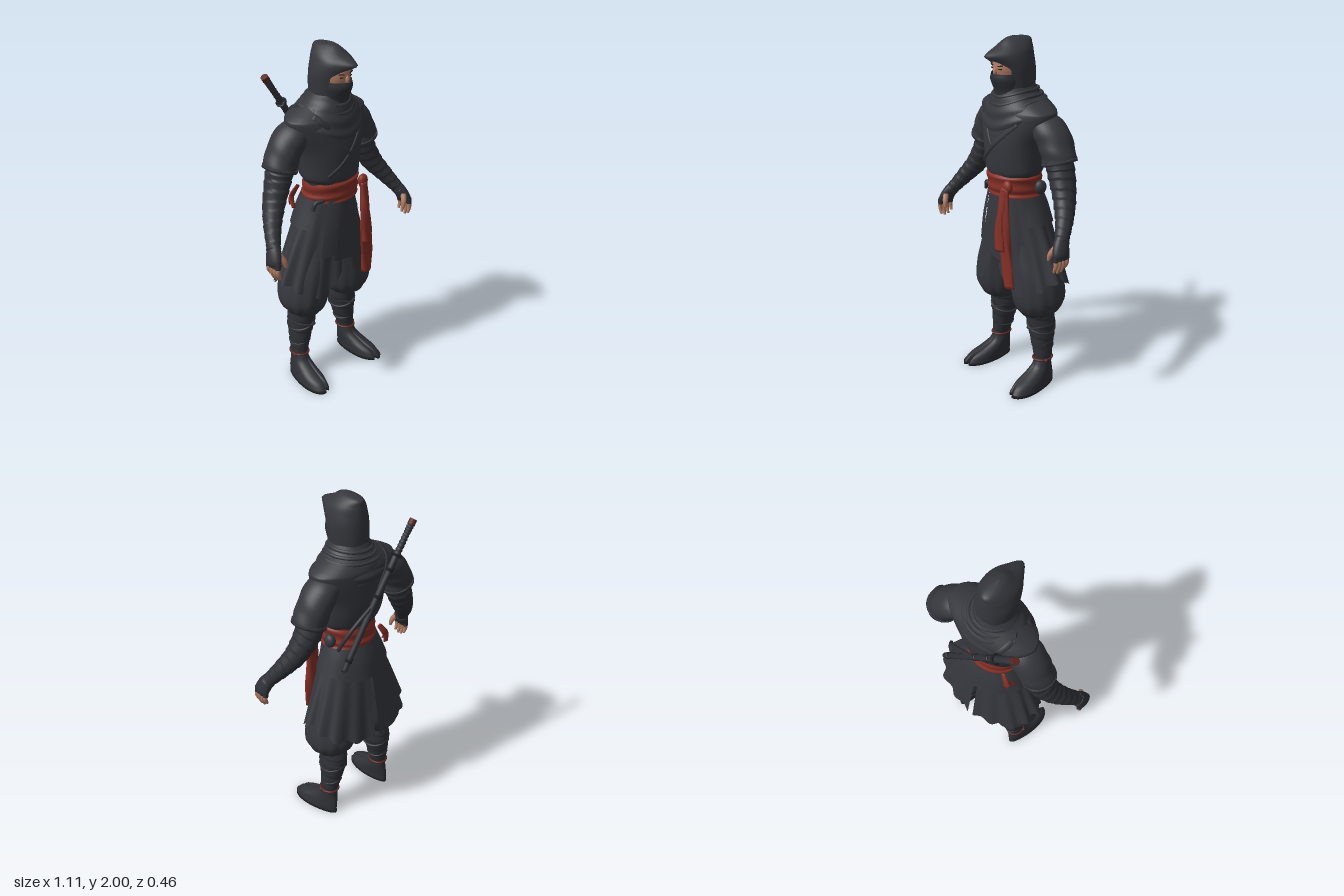
import * as THREE from 'three';

const mat = (name, color, side = THREE.DoubleSide) => {
  const m = new THREE.MeshStandardMaterial({ color, side });
  m.name = name;
  return m;
};
const cloth = mat('charcoalCloth', 0x36373d), wrap = mat('darkWrap', 0x303137);
const red = mat('redSash', 0x842f26), skin = mat('skin', 0xb07c64);
const dark = mat('blackLeather', 0x222327), hiltRed = mat('darkRedCord', 0x5c2823);
const band = mat('blueGreyBand', 0x2f3440);
const { sin, cos, max, min, abs, PI } = Math;
const RAD = PI / 180;

const add = (parent, name, geo, material, pos) => {
  const m = new THREE.Mesh(geo, material);
  m.name = name;
  if (pos) m.position.set(...pos);
  parent.add(m);
  return m;
};

// Smooth skin through elliptic rings [x, y, z, rx, rz], listed from top to bottom.
// tilt: rings square to the path. arc: degrees, 90 is the front. gap(t): front opening.
function loft(rows, { steps = 24, seg = 40, tilt = false, arc = [0, 360], gap, caps = tilt, fold, warp } = {}) {
  const path = new THREE.CatmullRomCurve3(rows.map(r => new THREE.Vector3(r[0], r[1], r[2])), false, 'catmullrom');
  const size = new THREE.CatmullRomCurve3(rows.map(r => new THREE.Vector3(r[3], r[4], 0)), false, 'catmullrom');
  const closed = !gap && arc[1] - arc[0] === 360, cols = closed ? seg : seg + 1;
  const pos = [], idx = [];
  for (let i = 0; i <= steps; i++) {
    const t = i / steps, c = path.getPoint(t), r = size.getPoint(t);
    let a = new THREE.Vector3(1, 0, 0), b = new THREE.Vector3(0, 0, 1);
    if (tilt) {
      const T = path.getTangent(t);
      b.addScaledVector(T, -T.z).normalize();
      a = b.clone().cross(T).normalize();
    }
    const g = gap ? gap(t) : 0;
    const lo = gap ? 90 + g : arc[0], hi = gap ? 450 - g : arc[1];
    for (let j = 0; j < cols; j++) {
      const th = (lo + (hi - lo) * j / seg) * RAD, k = fold ? 1 + fold(th, t) : 1;
      const v = c.clone().addScaledVector(a, r.x * k * cos(th)).addScaledVector(b, r.y * k * sin(th));
      if (warp) warp(v, th, t, c);
      pos.push(v.x, v.y, v.z);
    }
  }
  for (let i = 0; i < steps; i++) for (let j = 0; j < seg; j++) {
    const p = i * cols + j, q = i * cols + (j + 1) % cols;
    idx.push(p, q, p + cols, q, q + cols, p + cols);
  }
  if (caps) [0, 1].forEach(e => {
    const c = path.getPoint(e), n = pos.length / 3, o = e * steps * cols;
    pos.push(c.x, c.y, c.z);
    for (let j = 0; j < seg; j++) {
      const p = o + j, q = o + (j + 1) % cols;
      idx.push(...(e ? [n, p, q] : [n, q, p]));
    }
  });
  const geo = new THREE.BufferGeometry();
  geo.setAttribute('position', new THREE.Float32BufferAttribute(pos, 3));
  geo.setIndex(idx);
  geo.computeVertexNormals();
  return geo;
}
// Flat cloth strip through points [x, y, z, halfWidth]
const ribbon = (pts, thick = 0.006, opt) => loft(pts.map(p => [p[0], p[1], p[2], p[3], thick]), { tilt: true, seg: 16, steps: 20, ...opt });
const rod = (pts, opt) => loft(pts.map(p => [p[0], p[1], p[2], p[3], p[3]]), { tilt: true, seg: 14, steps: 16, ...opt });
const spiral = (turns, amp) => (th, t) => amp * (((t * turns + th / (2 * PI)) % 1 + 1) % 1 - 0.5);

const TORSO = [[0, 1.71, -0.01, 0.1, 0.1], [0, 1.675, -0.012, 0.17, 0.12], [0, 1.635, -0.01, 0.245, 0.142],
  [0, 1.61, -0.006, 0.264, 0.15], [0, 1.54, 0, 0.245, 0.16], [0, 1.45, 0.008, 0.205, 0.168], [0, 1.36, 0.015, 0.188, 0.163],
  [0, 1.29, 0.025, 0.178, 0.148], [0, 1.25, 0.03, 0.155, 0.13], [0, 1.15, 0.02, 0.15, 0.125]];
// Front of the jacket at (x, y)
function chestZ(x, y) {
  let i = 0;
  while (i < TORSO.length - 2 && TORSO[i + 1][1] > y) i++;
  const A = TORSO[i], B = TORSO[i + 1], k = (A[1] - y) / (A[1] - B[1]);
  const m = n => A[n] + (B[n] - A[n]) * k;
  return m(2) + m(4) * Math.sqrt(max(0, 1 - (x / m(3)) ** 2));
}
function chestBand(x0, y0, x1, y1, w) {
  return ribbon([0, 1, 2, 3, 4, 5].map(i => {
    const x = x0 + (x1 - x0) * i / 5, y = y0 + (y1 - y0) * i / 5;
    return [x, y, chestZ(x, y) + 0.003, w];
  }));
}

function buildHead(g) {
  add(g, 'face', new THREE.SphereGeometry(1, 32, 24).scale(0.083, 0.115, 0.105), skin, [0, 1.845, 0.047]);
  add(g, 'noseBridge', new THREE.SphereGeometry(0.014, 12, 8).scale(0.8, 1.6, 1), skin, [0, 1.825, 0.15]);
  add(g, 'mask', loft([[0, 1.815, 0.05, 0.088, 0.108], [0, 1.78, 0.05, 0.09, 0.115], [0, 1.72, 0.042, 0.086, 0.1],
    [0, 1.67, 0.03, 0.095, 0.105], [0, 1.62, 0.02, 0.1, 0.1]], {
    warp: (v, th, t) => { v.z += 0.016 * max(0, sin(th)) ** 20 * max(0, 1 - t * 2.5); }
  }), wrap);
  add(g, 'headband', loft([[0, 1.94, 0.047, 0.06, 0.08], [0, 1.91, 0.047, 0.08, 0.1], [0, 1.876, 0.047, 0.087, 0.109]]), band);
  for (const s of [-1, 1]) {
    add(g, 'eye', new THREE.BoxGeometry(0.018, 0.005, 0.006), dark, [s * 0.034, 1.841, 0.145]).rotation.y = s * 0.35;
    add(g, 'eyebrow', new THREE.BoxGeometry(0.032, 0.005, 0.006), dark, [s * 0.036, 1.858, 0.145]).rotation.set(0, s * 0.35, s * 0.15);
  }
  add(g, 'hood', loft([[0, 2, 0.04, 0.0005, 0.0005], [0, 1.986, 0.008, 0.038, 0.076], [0, 1.95, 0.025, 0.074, 0.106],
    [0, 1.91, 0.042, 0.094, 0.128], [0, 1.85, 0.03, 0.106, 0.12], [0, 1.78, 0.022, 0.104, 0.114], [0, 1.7, 0.02, 0.098, 0.108]], {
    steps: 40, seg: 48, gap: t => t < 0.5 ? 0 : min(48, (t - 0.5) * 260),
    fold: (th, t) => 0.012 * sin(th * 6 + t * 9) * t,
    warp: (v, th, t) => { v.z += 0.045 * max(0, sin(th)) ** 8 * max(0, 1 - abs(t - 0.5) * 5); }
  }), cloth);
  // Draped scarf
  add(g, 'cowl', loft([[0, 1.745, 0.018, 0.1, 0.108], [0, 1.71, 0.012, 0.122, 0.126], [0, 1.67, 0.004, 0.163, 0.148],
    [0, 1.63, 0, 0.205, 0.163], [0, 1.59, 0, 0.222, 0.168]], {
    steps: 40, seg: 60, fold: (th, t) => 0.025 * sin(t * 20 + 2.5 * sin(th) + cos(th)) * t,
    warp: (v, th, t) => { v.y -= t * (0.08 * max(0, sin(th)) ** 4 + 0.03 * max(0, -sin(th))); v.z += 0.01 * t * max(0, sin(th)); }
  }), cloth);
  // Slanting folds of the scarf
  for (let i = 0; i < 3; i++) {
    const pts = [];
    for (let j = 0; j < 24; j++) {
      const th = j / 24 * 2 * PI, f = max(0, sin(th));
      pts.push(new THREE.Vector3((0.11 + i * 0.024) * cos(th), 1.715 - i * 0.025 - (0.025 + i * 0.018) * f * f + 0.008 * cos(th), 0.014 - i * 0.004 + (0.122 + i * 0.013) * sin(th)));
    }
    add(g, 'cowlFold', new THREE.TubeGeometry(new THREE.CatmullRomCurve3(pts, true), 64, 0.01, 8, true), cloth);
  }
}

function buildTorso(g) {
  add(g, 'jacket', loft(TORSO, { steps: 54, seg: 60, fold: (th, t) => 0.014 * sin(th * 9 + t * 14) * t }), cloth);
  add(g, 'lapel', chestBand(0.15, 1.57, -0.12, 1.31, 0.014), cloth);
  add(g, 'innerLapel', chestBand(-0.11, 1.57, 0.0, 1.42, 0.012), cloth);
  add(g, 'shoulderStrap', chestBand(-0.17, 1.65, -0.05, 1.52, 0.018), wrap);
  add(g, 'sash', loft([[0.005, 1.275, 0.03, 0.156, 0.134], [0.005, 1.255, 0.032, 0.162, 0.142], [0.005, 1.19, 0.026, 0.16, 0.143],
    [0.005, 1.15, 0.02, 0.163, 0.145]], { steps: 34, seg: 48, fold: (th, t) => 0.02 * sin(t * 19 + 1.5 * sin(th) + 1.5 * cos(th)) }), red);
  add(g, 'sashKnot', new THREE.SphereGeometry(0.034, 16, 12).scale(0.95, 1.1, 0.7), red, [0.12, 1.225, 0.165]);
  const crumple = { steps: 30, fold: (th, t) => 0.15 * sin(th * 3 + t * 9) };
  add(g, 'sashTail', ribbon([[0.115, 1.22, 0.172, 0.022], [0.122, 1.02, 0.19, 0.034], [0.137, 0.82, 0.185, 0.042], [0.15, 0.65, 0.182, 0.036]], 0.018, crumple), red);
  add(g, 'sashTail', ribbon([[0.11, 1.22, 0.178, 0.02], [0.105, 1.04, 0.205, 0.03], [0.11, 0.87, 0.217, 0.036]], 0.016, crumple), red);
  for (const k of [0, 1]) add(g, 'sideSashEnd', ribbon([[-0.13, 1.2, -0.085, 0.014], [-0.165, 1.14, -0.1, 0.02], [-0.165 - k * 0.025, 1.09, -0.105 + k * 0.045, 0.016]]), red);
}

function buildSkirt(g) {
  const rows = [[0, 1.18, 0.02, 0.15, 0.128], [0, 0.99, 0, 0.203, 0.158], [0, 0.8, -0.015, 0.265, 0.175], [0, 0.6, -0.025, 0.33, 0.195]];
  // The hem drops to points beside the front opening and at the back
  const hem = (v, th) => {
    const k = sin(th), d = abs(th / RAD - 90);
    const drop = 0.81 + 0.23 * max(0, k) + 0.24 * max(0, -k) + 0.012 * sin(th * 15) - 0.38 * max(0, 1 - d / 26);
    v.y = 1.18 - (1.18 - v.y) * drop;
  };
  for (const s of [-1, 1]) add(g, s > 0 ? 'leftSkirt' : 'rightSkirt', loft(rows, {
    seg: 90, arc: s > 0 ? [-87, 82] : [98, 267], warp: hem,
    fold: (th, t) => 0.045 * t * sin(th * 15) + 0.02 * t * sin(th * 7)
  }), cloth);
  add(g, 'jacketTail', loft([[0, 1.155, 0.014, 0.16, 0.138], [0, 1.08, 0, 0.185, 0.153], [0, 0.98, -0.005, 0.22, 0.17]], {
    seg: 56, arc: [150, 390], fold: (th, t) => 0.01 * t * sin(th * 8), warp: (v, th, t) => { v.y += 0.02 * t * cos(th * 2); }
  }), cloth);
  add(g, 'apron', loft([[0, 1.17, 0.02, 0.154, 0.135], [0, 1, 0.01, 0.21, 0.162], [0, 0.79, 0, 0.27, 0.176]], {
    seg: 24, arc: [66, 112], fold: (th, t) => 0.012 * t * sin(th * 14), warp: (v, th, t) => { v.y -= v.x * 0.15 * t; }
  }), cloth);
  add(g, 'apronFlap', loft([[0, 1.17, 0.02, 0.158, 0.14], [0, 1, 0.01, 0.216, 0.168], [0, 0.84, 0, 0.258, 0.18]], { seg: 12, arc: [112, 132] }), cloth);
  add(g, 'sideTie', rod([[-0.13, 1.17, 0.11, 0.012], [-0.17, 1.16, 0.09, 0.012], [-0.185, 1.12, 0.085, 0.01]]), wrap);
  add(g, 'hipPouch', new THREE.SphereGeometry(0.04, 16, 12).scale(0.7, 1, 0.9), cloth, [0.17, 1.2, -0.02]);
}

function buildLeg(g, s) {
  const side = rows => rows.map(r => [s * r[0], ...r.slice(1)]);
  add(g, 'trouserLeg', loft(side([[0.08, 1.05, 0, 0.09, 0.11], [0.11, 0.86, -0.005, 0.115, 0.135], [0.15, 0.7, -0.01, 0.137, 0.15],
    [0.17, 0.57, -0.015, 0.143, 0.153], [0.172, 0.5, -0.012, 0.125, 0.132], [0.17, 0.455, -0.01, 0.09, 0.097], [0.168, 0.44, -0.015, 0.065, 0.07]]),
    { steps: 40, seg: 60, fold: (th, t) => 0.035 * t * sin(th * 13 + s) + 0.012 * sin(th * 5 + t * 8) }), cloth);
  add(g, 'shinWrap', loft(side([[0.168, 0.48, -0.015, 0.076, 0.08], [0.17, 0.38, -0.035, 0.078, 0.083], [0.185, 0.26, -0.032, 0.06, 0.067],
    [0.197, 0.17, -0.027, 0.046, 0.054], [0.2, 0.12, -0.02, 0.046, 0.056]]), { steps: 60, fold: spiral(7, 0.05) }), wrap);
  // Crossed wrap bands
  for (const k of [-1, 1]) for (const [x, y, r] of [[0.172, 0.36, 0.077], [0.187, 0.25, 0.057]]) {
    const b = add(g, 'crossBand', new THREE.TorusGeometry(r, 0.006, 6, 32).rotateX(PI / 2), cloth, [s * x, y, -0.033]);
    b.rotation.z = k * 0.35;
    b.scale.z = 1.06;
  }
  add(g, 'ankleCord', new THREE.TorusGeometry(0.05, 0.006, 8, 32).rotateX(PI / 2).scale(1, 1, 1.14), hiltRed, [s * 0.197, 0.165, -0.026]);
  add(g, 'ankleKnot', new THREE.SphereGeometry(0.011, 10, 8), hiltRed, [s * 0.248, 0.163, -0.01]);
  // Split-toe shoe; the outline is broad at the toes and notched beside the big toe
  const shape = (v, th, t, c) => {
    const notch = Math.exp(-(((th / RAD - 90 - s * 9) / 5) ** 2)) * t;
    v.x = c.x + (v.x - c.x) * (1 + 0.28 * sin(th) * t) + s * 0.012 * sin(th) * t;
    v.z -= 0.04 * notch;
  };
  add(g, 'shoe', loft(side([[0.198, 0.16, -0.027, 0.044, 0.053], [0.2, 0.12, -0.016, 0.048, 0.066], [0.206, 0.085, 0.012, 0.053, 0.1],
    [0.213, 0.05, 0.05, 0.059, 0.141], [0.217, 0.012, 0.068, 0.062, 0.158]]), { seg: 90, caps: true, warp: shape }), wrap);
  add(g, 'sole', loft(side([[0.217, 0.014, 0.068, 0.063, 0.16], [0.217, 0, 0.068, 0.063, 0.16]]),
    { seg: 90, steps: 2, caps: true, warp: (v, th, t, c) => shape(v, th, 1, c) }), dark);
}

function buildArm(g, s) {
  const side = rows => rows.map(r => [s * r[0], ...r.slice(1)]);
  const crease = (th, t) => 0.03 * sin(t * 16 + th * 2) * t;
  add(g, 'sleeve', loft(side([[0.165, 1.57, -0.02, 0.055, 0.085], [0.225, 1.535, -0.025, 0.08, 0.098], [0.268, 1.485, -0.03, 0.086, 0.098],
    [0.297, 1.43, -0.03, 0.088, 0.095], [0.316, 1.375, -0.028, 0.094, 0.092]]), { tilt: true, fold: crease }), cloth);
  add(g, 'sleeveHem', loft(side([[0.311, 1.388, -0.028, 0.097, 0.095], [0.317, 1.37, -0.028, 0.097, 0.095]]), { tilt: true, steps: 3 }), cloth);
  add(g, 'forearmWrap', loft(side([[0.3, 1.41, -0.03, 0.072, 0.078], [0.328, 1.32, -0.03, 0.069, 0.076], [0.384, 1.21, -0.005, 0.059, 0.064],
    [0.443, 1.12, 0.043, 0.047, 0.05], [0.491, 1.04, 0.098, 0.036, 0.04], [0.502, 1.02, 0.11, 0.035, 0.042]]),
    { tilt: true, steps: 80, fold: spiral(s * 11, 0.08) }), wrap);
  add(g, 'glove', loft(side([[0.493, 1.045, 0.1, 0.03, 0.036], [0.51, 1.005, 0.12, 0.032, 0.046], [0.524, 0.97, 0.132, 0.029, 0.049],
    [0.527, 0.95, 0.135, 0.022, 0.045]]), { tilt: true }), wrap);
  [0.098, 0.122, 0.146, 0.169].forEach((z, i) => {
    const len = [0.07, 0.087, 0.09, 0.08][i];
    add(g, 'finger', rod(side([[0.527, 0.96, z, 0.0135], [0.531, 0.955 - len * 0.5, z + 0.003, 0.0125], [0.518, 0.957 - len, z + 0.004, 0.007]])), skin);
    add(g, 'fingerGuard', rod(side([[0.526, 0.97, z, 0.016], [0.529, 0.938, z + 0.002, 0.015]])), wrap);
  });
  add(g, 'thumb', rod(side([[0.5, 1.0, 0.15, 0.018], [0.482, 0.965, 0.168, 0.015], [0.474, 0.93, 0.174, 0.008]])), skin);
}

function buildSword(g) {
  // Points along the sword, from pommel (0) to scabbard tip (1)
  const at = (k, r) => [-0.272 + 0.475 * k, 1.83 - 0.725 * k + 0.012 * sin(k * PI), -0.175, r];
  add(g, 'pommel', rod([at(0, 0.02), at(0.035, 0.02)]), hiltRed);
  add(g, 'hilt', rod([at(0.03, 0.019), at(0.12, 0.017), at(0.24, 0.018)], { steps: 40, fold: (th, t) => 0.1 * sin(t * 60) }), wrap);
  add(g, 'guard', rod([at(0.235, 0.03), at(0.25, 0.03)], { steps: 2 }), dark);
  add(g, 'scabbard', rod([at(0.25, 0.018), at(0.6, 0.017), at(0.97, 0.016), at(1, 0.012)]), wrap);
  for (const k of [0.32, 0.5, 0.92]) add(g, 'scabbardRing', rod([at(k, 0.02), at(k + 0.03, 0.02)], { steps: 2 }), dark);
  add(g, 'carryStrap', ribbon([[-0.15, 1.665, 0.06, 0.016], [-0.16, 1.67, -0.06, 0.016], [-0.13, 1.62, -0.14, 0.016], [-0.05, 1.5, -0.165, 0.016]]), wrap);
  add(g, 'hangingCord', rod([[-0.02, 1.44, -0.175, 0.01], [0.1, 1.36, -0.17, 0.011], [0.17, 1.28, -0.15, 0.011], [0.2, 1.2, -0.12, 0.01]]), wrap);
}

export function createModel() {
  const model = new THREE.Group();
  model.name = 'hoodedWarrior';
  const part = (name, build, s) => {
    const g = new THREE.Group();
    g.name = name;
    build(g, s);
    model.add(g);
  };
  part('head', buildHead);
  part('torso', buildTorso);
  part('skirt', buildSkirt);
  part('sword', buildSword);
  for (const s of [1, -1]) {
    part(s > 0 ? 'leftArm' : 'rightArm', buildArm, s);
    part(s > 0 ? 'leftLeg' : 'rightLeg', buildLeg, s);
  }
  return model;
}
